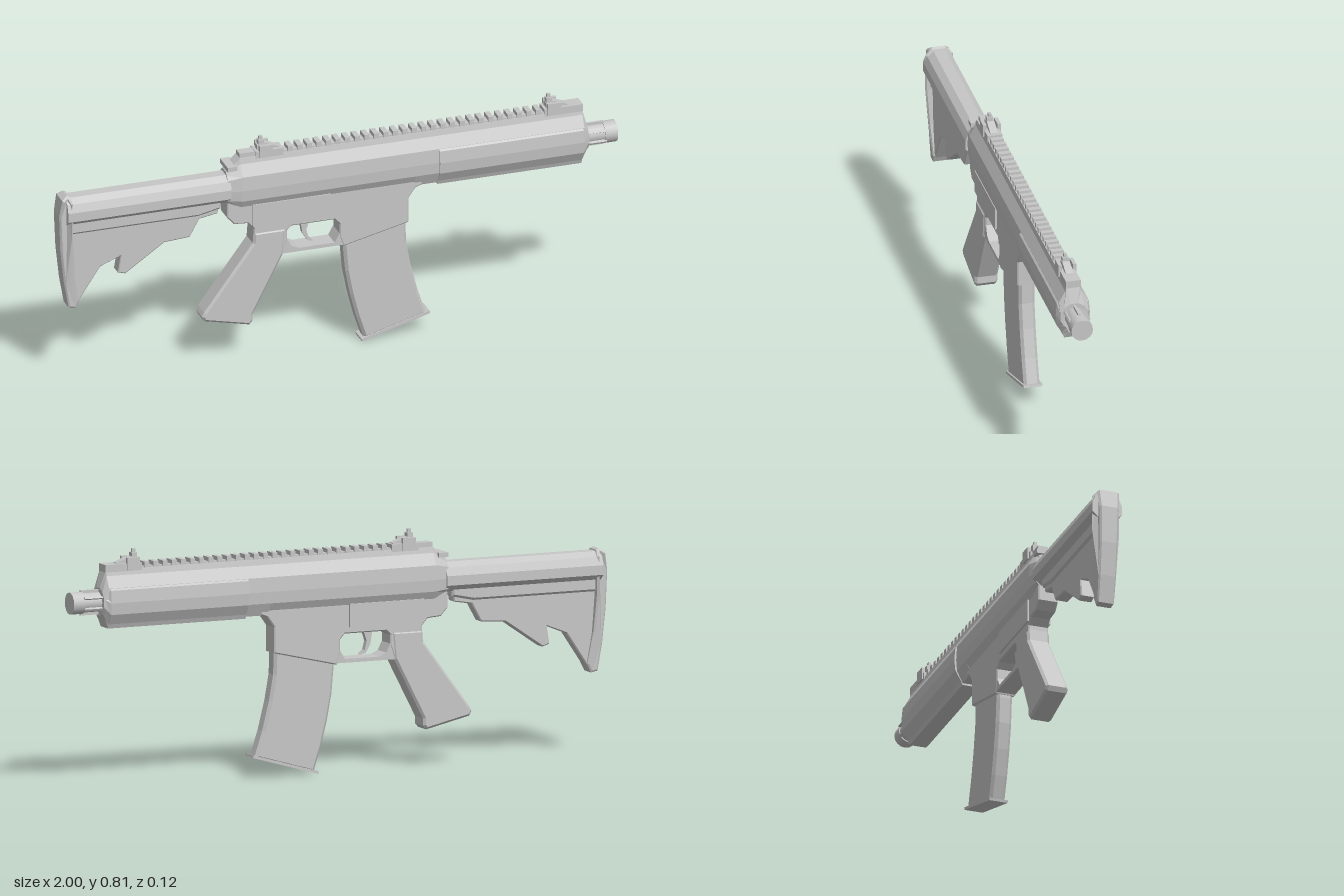
import * as THREE from 'three';

export function createModel() {
  const model = new THREE.Group();
  const grey = new THREE.MeshStandardMaterial({ color: 0xc6c6c6 });
  grey.name = 'grey';

  const add = (name, geometry) => {
    const mesh = new THREE.Mesh(geometry, grey);
    mesh.name = name;
    model.add(mesh);
    return mesh;
  };

  // Side outline extruded to +-half in z, with chamfered edges
  const plate = (pts, half, bevel = 0) => {
    const shape = new THREE.Shape(pts.map(p => new THREE.Vector2(p[0], p[1])));
    const depth = 2 * (half - bevel);
    return new THREE.ExtrudeGeometry(shape, {
      depth, bevelEnabled: bevel > 0, bevelThickness: bevel, bevelSize: bevel,
      bevelOffset: -bevel, bevelSegments: 1,
    }).translate(0, 0, -depth / 2);
  };

  const box = (name, x0, x1, y0, y1, half, z = 0) =>
    add(name, new THREE.BoxGeometry(x1 - x0, y1 - y0, half * 2).translate((x0 + x1) / 2, (y0 + y1) / 2, z));

  // Flat-faced loft along x; each section is [x, half outline of (z, y) from top to bottom]
  const loft = sections => {
    const rings = sections.map(([x, half]) => [
      ...half.map(([z, y]) => [x, y, z]),
      ...half.slice().reverse().map(([z, y]) => [x, y, -z]),
    ]);
    const pos = [], n = rings[0].length;
    const tri = (a, b, c) => pos.push(...a, ...b, ...c);
    for (let i = 0; i < rings.length - 1; i++) {
      for (let j = 0; j < n; j++) {
        const k = (j + 1) % n;
        const a = rings[i][j], b = rings[i][k], c = rings[i + 1][k], d = rings[i + 1][j];
        tri(a, b, c);
        tri(a, c, d);
      }
    }
    const first = rings[0], last = rings[rings.length - 1];
    for (let j = 1; j < n - 1; j++) {
      tri(first[0], first[j + 1], first[j]);
      tri(last[0], last[j], last[j + 1]);
    }
    const g = new THREE.BufferGeometry();
    g.setAttribute('position', new THREE.Float32BufferAttribute(pos, 3));
    g.computeVertexNormals();
    return g;
  };

  // Half circle around the bore, as a six-point loft section
  const bore = r => Array.from({ length: 6 }, (_, i) => {
    const a = Math.PI * (i + 0.5) / 6;
    return [r * Math.sin(a), 0.64 + r * Math.cos(a)];
  });

  // Upper receiver, with a front chamfer closing in on the bore
  const upper = [[0.024, 0.75], [0.028, 0.73], [0.05, 0.69], [0.053, 0.64], [0.05, 0.6], [0.034, 0.57]];
  const rear = [[0.02, 0.705], [0.03, 0.695], [0.042, 0.68], [0.045, 0.64], [0.042, 0.605], [0.03, 0.59]];
  add('upperReceiver', loft([[-0.4, rear], [-0.35, upper], [0.875, upper], [0.893, bore(0.05)]]));

  // Handguard: inner core and thicker outer shell
  const core = [[0.045, 0.68], [0.053, 0.64], [0.05, 0.6], [0.03, 0.557]];
  add('handguardCore', loft([[0.27, core], [0.38, core]]));
  const shell = [[0.05, 0.689], [0.056, 0.683], [0.06, 0.64], [0.056, 0.6], [0.036, 0.565], [0.03, 0.55]];
  add('handguardShell', loft([[0.355, shell], [0.87, shell], [0.89, bore(0.05)]]));

  // Barrel and muzzle
  const rod = (name, r, x0, x1) =>
    add(name, new THREE.CylinderGeometry(r, r, x1 - x0, 16).rotateZ(-Math.PI / 2).translate((x0 + x1) / 2, 0.64, 0));
  rod('barrel', 0.034, 0.88, 0.97);
  rod('muzzle', 0.038, 0.955, 1.0);
  for (let i = 0; i < 6; i++) {
    const rib = box('muzzleRib', 0.89, 0.96, -0.01, 0.01, 0.004);
    rib.geometry.translate(0, 0.033, 0).rotateX(i * Math.PI / 3).translate(0, 0.64, 0);
  }

  // Top rail with teeth
  box('railBase', -0.35, 0.875, 0.735, 0.755, 0.018);
  for (let i = 0; i < 27; i++) {
    const x = -0.178 + i * 0.0342;
    box('railTooth', x, x + 0.018, 0.747, 0.769, 0.022);
  }
  box('rearRailBlock', -0.35, -0.28, 0.74, 0.766, 0.018);
  box('frontRailBlock', 0.83, 0.878, 0.742, 0.768, 0.026);

  // Rear and front sights
  const sight = (name, x0, x1, postX) => {
    box(name + 'Base', x0, x1, 0.742, 0.768, 0.026);
    add(name + 'Wedge', plate([[x0 + 0.01, 0.76], [x1 - 0.01, 0.76], [x1 - 0.01, 0.77], [postX + 0.015, 0.79], [x0 + 0.01, 0.785]], 0.013));
    for (const s of [-1, 1]) box(name + 'Knob', postX - 0.012, postX + 0.035, 0.745, 0.788, 0.006, s * 0.025);
    box(name + 'Post', postX - 0.006, postX + 0.006, 0.78, 0.815, 0.005);
    box(name + 'Bracket', postX - 0.01, postX + 0.01, 0.78, 0.802, 0.011);
  };
  sight('rearSight', -0.295, -0.195, -0.27);
  sight('frontSight', 0.74, 0.84, 0.762);

  // Charging handle
  box('chargingHandleStem', -0.39, -0.3, 0.715, 0.73, 0.018);
  box('chargingHandle', -0.4, -0.365, 0.714, 0.73, 0.041);

  // Lower receiver with magazine well, and the trigger guard below it
  add('lowerReceiver', plate([
    [-0.4, 0.62], [-0.4, 0.54], [-0.375, 0.512], [-0.325, 0.508], [-0.305, 0.485], [-0.305, 0.43],
    [-0.2, 0.38], [-0.185, 0.425], [-0.185, 0.46], [-0.17, 0.475], [-0.015, 0.475], [0.003, 0.455], [0.003, 0.41],
    [0.016, 0.37], [0.25, 0.425], [0.25, 0.515], [0.275, 0.55], [0.3, 0.56], [0.3, 0.62],
  ], 0.036, 0.004));
  add('triggerGuard', plate([
    [-0.205, 0.375], [0.03, 0.375], [0.03, 0.42], [0.003, 0.42], [-0.015, 0.388], [-0.145, 0.388], [-0.17, 0.4], [-0.185, 0.43], [-0.205, 0.43],
  ], 0.034));
  box('sidePanel', -0.31, -0.03, 0.497, 0.577, 0.042);

  // Trigger
  add('trigger', plate([
    [-0.13, 0.48], [-0.095, 0.48], [-0.108, 0.44], [-0.1, 0.41], [-0.082, 0.395], [-0.105, 0.4], [-0.122, 0.43],
  ], 0.01));

  // Pistol grip
  add('grip', plate([
    [-0.305, 0.47], [-0.308, 0.43], [-0.482, 0.195], [-0.49, 0.18], [-0.482, 0.163], [-0.32, 0.126], [-0.308, 0.14],
    [-0.308, 0.165], [-0.2, 0.375], [-0.19, 0.47],
  ], 0.04, 0.008));

  // Curved magazine and its floor plate
  add('magazine', plate([
    [0.02, 0.43], [0.02, 0.36], [0.028, 0.27], [0.045, 0.18], [0.068, 0.09], [0.096, 0.004],
    [0.317, 0.068], [0.287, 0.16], [0.262, 0.26], [0.246, 0.35], [0.244, 0.46],
  ], 0.028, 0.01));
  add('magazineFloor', plate([[0.084, 0.0], [0.328, 0.07], [0.326, 0.079], [0.082, 0.009]], 0.033));

  // Stock tube
  const tube = [[0.02, 0.695], [0.042, 0.678], [0.053, 0.65], [0.053, 0.617], [0.026, 0.594]];
  add('stockTube', loft([[-0.975, tube], [-0.39, tube]]));

  // Stock web and its thicker upper band
  add('stockWeb', plate([
    [-0.965, 0.61], [-0.42, 0.61], [-0.43, 0.556], [-0.495, 0.545], [-0.53, 0.482], [-0.62, 0.476], [-0.76, 0.38],
    [-0.787, 0.388], [-0.777, 0.45], [-0.85, 0.42], [-0.94, 0.285], [-0.965, 0.285],
  ], 0.024, 0.004));
  add('stockBand', plate([[-0.96, 0.62], [-0.415, 0.62], [-0.42, 0.575], [-0.5, 0.558], [-0.96, 0.558]], 0.032, 0.008));

  // Butt plate, narrowing towards its toe, its top and its rear face
  const butt = plate([
    [-0.97, 0.705], [-0.99, 0.692], [-1.0, 0.63], [-0.995, 0.5], [-0.982, 0.38], [-0.965, 0.285], [-0.94, 0.28],
    [-0.925, 0.31], [-0.945, 0.42], [-0.955, 0.55], [-0.955, 0.68], [-0.96, 0.7],
  ], 0.053, 0.006);
  const p = butt.attributes.position;
  const { clamp } = THREE.MathUtils;
  for (let i = 0; i < p.count; i++) {
    const toe = 0.55 + 0.45 * clamp((p.getY(i) - 0.28) / 0.33, 0, 1);
    const top = 0.45 + 0.55 * clamp((0.705 - p.getY(i)) / 0.03, 0, 1);
    const back = 1 - 0.4 * clamp((-0.965 - p.getX(i)) / 0.035, 0, 1);
    p.setZ(i, p.getZ(i) * toe * Math.min(top, back));
  }
  butt.computeVertexNormals();
  add('buttPlate', butt);

  return model;
}
